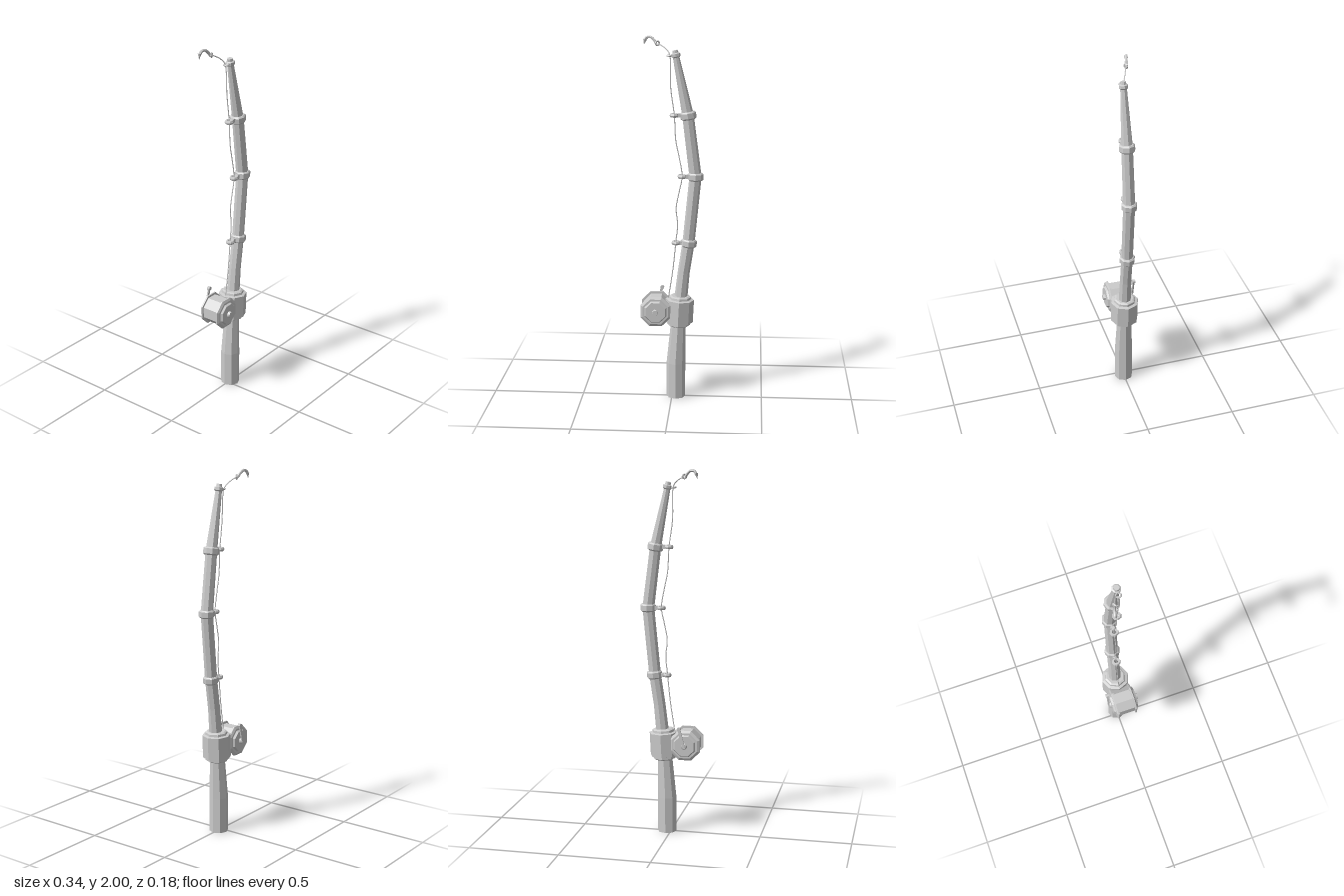
import * as THREE from 'three';

const mat = new THREE.MeshStandardMaterial({ color: 0xcccccc, flatShading: true, side: THREE.DoubleSide });

export function createModel() {
  const model = new THREE.Group();

  const add = (name, geometry, parent = model) => {
    const mesh = new THREE.Mesh(geometry, mat);
    mesh.name = name;
    parent.add(mesh);
    return mesh;
  };

  // Eight-sided body through stations [x, y, radius, lean]
  const loft = (stations) => {
    const n = stations.length - 1;
    const geo = new THREE.CylinderGeometry(1, 1, 1, 8, n);
    const p = geo.attributes.position;
    for (let i = 0; i < p.count; i++) {
      const [cx, cy, r, lean] = stations[Math.round((p.getY(i) + 0.5) * n)];
      const x = p.getX(i) * r;
      p.setXYZ(i, cx + x * Math.cos(lean), cy - x * Math.sin(lean), p.getZ(i) * r);
    }
    geo.computeVertexNormals();
    return geo;
  };

  // Bevelled band around the rod; profile is [radius, offset along the axis]
  const band = (name, x, y, lean, profile) =>
    add(name, loft(profile.map(([r, h]) => [x + h * Math.sin(lean), y + h * Math.cos(lean), r, lean])));

  const curve = (pts) => new THREE.CatmullRomCurve3(pts.map((p) => new THREE.Vector3(...p)));

  // Grip and bent rod
  add('handle', loft([[0.022, 0, 0.052, 0], [0.022, 0.2, 0.052, 0], [0.035, 0.43, 0.041, 0.05]]));
  add('rod', loft([
    [0.047, 0.56, 0.036, 0.1], [0.064, 0.72, 0.033, 0.12], [0.09, 0.89, 0.033, 0.12],
    [0.126, 1.255, 0.033, 0], [0.085, 1.585, 0.031, -0.16], [0.02, 1.9, 0.017, -0.2],
  ]));

  // Reel seat
  band('reelSeat', 0.04, 0.5, 0.05, [
    [0.052, -0.085], [0.064, -0.078], [0.064, -0.066], [0.078, -0.062],
    [0.078, 0.066], [0.062, 0.07], [0.06, 0.082], [0.05, 0.087],
  ]);

  // Guides: a band on the rod, an arm and an eyelet
  const guides = [
    [0.092, 0.887, 0.1, 0.022], [0.127, 1.255, 0, 0.054], [0.086, 1.585, -0.16, 0.012],
  ];
  for (const [x, y, lean, eyeX] of guides) {
    band('guideBand', x, y, lean, [[0.036, -0.021], [0.043, -0.014], [0.043, 0.014], [0.036, 0.021]]);
    const eye = add('guideEyelet', new THREE.TorusGeometry(0.017, 0.008, 6, 8));
    eye.rotation.x = Math.PI / 2;
    eye.position.set(eyeX, y, 0);
    eye.scale.z = 1.4;
    const arm = add('guideArm', new THREE.BoxGeometry(x - eyeX - 0.04, 0.02, 0.022));
    arm.position.set((x + eyeX) / 2, y, 0);
  }

  // Tip cap and its eyelet
  band('tipCap', 0.02, 1.905, -0.2, [[0.018, -0.015], [0.024, -0.009], [0.024, 0.006], [0.016, 0.01], [0.014, 0.024]]);
  const tipEye = add('tipEyelet', new THREE.TorusGeometry(0.012, 0.005, 6, 8));
  tipEye.rotation.x = Math.PI / 2;
  tipEye.position.set(-0.013, 1.9, 0);

  // Reel, turned about the z axis
  const reel = new THREE.Group();
  reel.name = 'reel';
  reel.position.set(-0.087, 0.51, 0);
  model.add(reel);
  const disc = (name, r0, r1, z0, z1) => {
    const geo = new THREE.CylinderGeometry(r1, r0, Math.abs(z1 - z0), 8);
    geo.rotateY(Math.PI / 8);
    geo.rotateX(z1 > z0 ? Math.PI / 2 : -Math.PI / 2);
    add(name, geo, reel).position.z = (z0 + z1) / 2;
  };
  disc('spool', 0.077, 0.077, -0.052, 0.055);
  for (const [side, inner] of [[1, 0.05], [-1, 0.045]]) {
    disc('flangeRim', 0.09, 0.09, side * inner, side * (inner + 0.008));
    disc('flangeBevel', 0.09, 0.076, side * (inner + 0.008), side * (inner + 0.015));
    disc('sideCap', 0.066, 0.058, side * (inner + 0.013), side * (inner + 0.026));
  }
  disc('frontHub', 0.018, 0.015, 0.076, 0.09);
  disc('crankHub', 0.019, 0.013, -0.07, -0.083);

  // Crank arm with its knob
  const crank = add('crankArm', new THREE.BoxGeometry(0.015, 0.105, 0.008), reel);
  crank.position.set(0.013, 0.045, -0.084);
  crank.rotation.z = -0.25;
  const knob = add('crankKnob', new THREE.CylinderGeometry(0.011, 0.011, 0.016, 8), reel);
  knob.rotation.x = Math.PI / 2;
  knob.position.set(0.027, 0.097, -0.084);

  // Foot joining reel and seat
  add('reelFoot', new THREE.BoxGeometry(0.06, 0.07, 0.08)).position.set(-0.02, 0.5, 0);

  // Fishing line
  add('line', new THREE.TubeGeometry(curve([
    [-0.022, 0.56, 0], [0.005, 0.74, 0], [0.02, 0.887, 0], [0.03, 0.99, 0], [0.022, 1.08, 0],
    [0.038, 1.17, 0], [0.054, 1.255, 0], [0.038, 1.36, 0], [0.02, 1.45, 0], [0.012, 1.585, 0],
    [-0.007, 1.73, 0], [-0.012, 1.9, -0.008], [-0.025, 1.925, -0.018],
    [-0.05, 1.945, -0.03], [-0.076, 1.958, -0.04],
  ]), 90, 0.003, 5));

  // Hook with eye and barb
  const hook = new THREE.Group();
  hook.name = 'hook';
  model.add(hook);
  const hookEye = add('hookEye', new THREE.TorusGeometry(0.011, 0.005, 5, 8), hook);
  hookEye.position.set(-0.08, 1.96, -0.042);
  hookEye.rotation.y = 0.5;
  add('hookBend', new THREE.TubeGeometry(curve([
    [-0.086, 1.957, -0.044], [-0.1, 1.978, -0.05], [-0.118, 1.992, -0.056],
    [-0.138, 1.989, -0.061], [-0.148, 1.972, -0.064],
  ]), 10, 0.0075, 6), hook);
  const point = add('hookPoint', new THREE.ConeGeometry(0.011, 0.03, 6), hook);
  point.position.set(-0.15, 1.964, -0.064);
  point.rotation.z = Math.PI - 0.2;

  return model;
}
